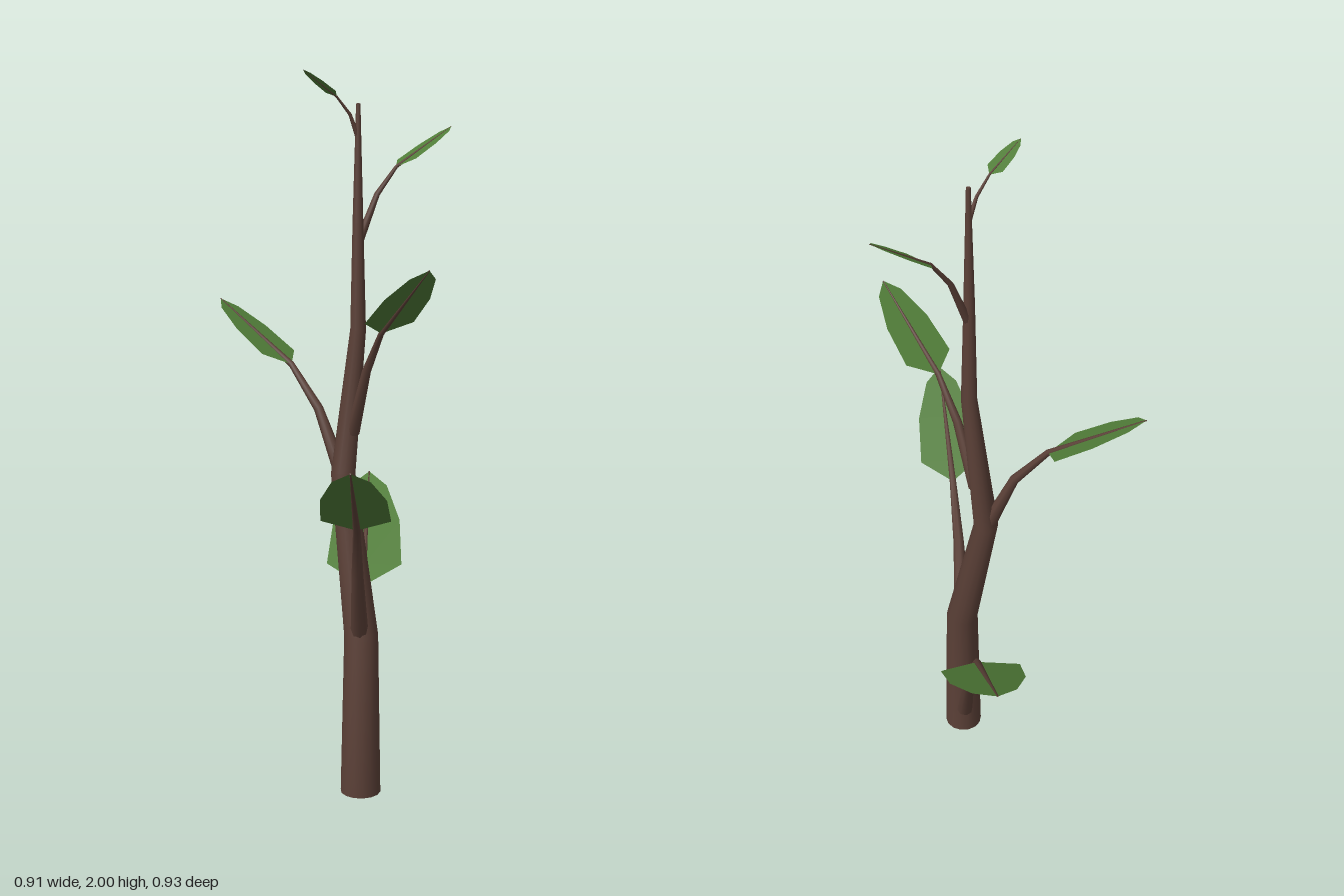
import * as THREE from 'three';

const bark = new THREE.MeshStandardMaterial({ color: 0x5b4037 });
const green = new THREE.MeshStandardMaterial({ color: 0x507c38, side: THREE.DoubleSide });
const vec = (p) => new THREE.Vector3(...p);

// Tapered, capped limb through a list of points, one radius per point
function limb(name, path, radii, sides) {
  const pts = path.map(vec), pos = [], index = [];
  const ring = (i) => {
    const t = pts[Math.min(i + 1, pts.length - 1)].clone().sub(pts[Math.max(i - 1, 0)]).normalize();
    const u = new THREE.Vector3(0, 0, 1).cross(t).normalize();
    const v = u.clone().cross(t);
    for (let k = 0; k < sides; k++) {
      const a = (k / sides) * Math.PI * 2;
      const p = pts[i].clone().addScaledVector(u, Math.cos(a) * radii[i]).addScaledVector(v, Math.sin(a) * radii[i]);
      pos.push(p.x, p.y, p.z);
    }
  };
  pts.forEach((p, i) => ring(i));
  for (let i = 0; i < pts.length - 1; i++) {
    for (let k = 0; k < sides; k++) {
      const a = i * sides + k, b = i * sides + (k + 1) % sides;
      index.push(a, a + sides, b, b, a + sides, b + sides);
    }
  }
  // End caps use their own vertices so their edges stay sharp
  for (const end of [0, pts.length - 1]) {
    const first = pos.length / 3;
    ring(end);
    for (let k = 1; k < sides - 1; k++) {
      if (end === 0) index.push(first, first + k, first + k + 1);
      else index.push(first, first + k + 1, first + k);
    }
  }
  const geo = new THREE.BufferGeometry();
  geo.setAttribute('position', new THREE.Float32BufferAttribute(pos, 3));
  geo.setIndex(index);
  geo.computeVertexNormals();
  const mesh = new THREE.Mesh(geo, bark);
  mesh.name = name;
  return mesh;
}

// Flat pointed leaf around the last stretch of a twig: [distance along, half width]
const outline = [[0, 0], [0.18, 0.277], [0.56, 0.253], [0.87, 0.143], [1, 0]];
function leaf(base, tip) {
  const a = vec(base), d = vec(tip).sub(a);
  const side = new THREE.Vector3(-d.z, 0, d.x); // level, as long as the leaf seen from above
  const pos = [], index = [];
  outline.forEach(([t, w], i) => {
    for (const s of [-w, 0, w]) {
      const p = a.clone().addScaledVector(d, t).addScaledVector(side, s);
      pos.push(p.x, p.y, p.z);
    }
    if (i === 0) return;
    const n = i * 3;
    for (const j of [0, 1]) {
      const q = n + j;
      if (i > 1 || j === 1) index.push(q - 3, q + 1, q - 2);
      if (i < outline.length - 1 || j === 0) index.push(q - 3, q, q + 1);
    }
  });
  const geo = new THREE.BufferGeometry();
  geo.setAttribute('position', new THREE.Float32BufferAttribute(pos, 3));
  geo.setIndex(index);
  geo.computeVertexNormals();
  const mesh = new THREE.Mesh(geo, green);
  mesh.name = 'leaf';
  return mesh;
}

// Twigs from bottom to top: thickness at the trunk, then root, bend, leaf base, tip
const twigs = [
  [0.025, [-0.01, 0.1, 0.05], [0.055, 0.34, -0.015], [0.15, 0.525, -0.11], [0.453, 0.8, -0.387]],
  [0.025, [-0.07, 0.47, 0.1], [-0.142, 0.66, 0.165], [-0.215, 0.81, 0.237], [-0.455, 1.02, 0.46]],
  [0.021, [-0.01, 0.92, -0.045], [-0.028, 1.08, -0.11], [-0.045, 1.2, -0.205], [-0.092, 1.38, -0.465]],
  [0.019, [-0.004, 1.02, 0.005], [-0.025, 1.2, 0.08], [-0.052, 1.31, 0.163], [-0.135, 1.485, 0.412]],
  [0.012, [0.004, 1.55, 0.021], [0.06, 1.68, 0.035], [0.12, 1.755, 0.05], [0.294, 1.87, 0.096]],
  [0.007, [0, 1.83, 0.021], [-0.022, 1.89, 0.013], [-0.062, 1.935, 0.003], [-0.16, 2, -0.022]],
];

export function createModel() {
  const model = new THREE.Group();
  model.name = 'sapling';

  // Bent trunk
  model.add(limb('trunk',
    [[-0.052, 0, 0.086], [-0.052, 0.46, 0.088], [-0.008, 0.9, -0.03], [0, 1.31, 0.022], [0.001, 1.6, 0.02], [0, 1.92, 0.022]],
    [0.057, 0.048, 0.035, 0.022, 0.015, 0.006], 14));

  // Twigs with one leaf each
  for (const [r, ...path] of twigs) {
    const branch = new THREE.Group();
    branch.name = 'branch';
    branch.add(limb('twig', path, [r, r * 0.65, r * 0.42, r * 0.08], 8));
    branch.add(leaf(path[2], path[3]));
    model.add(branch);
  }
  return model;
}
